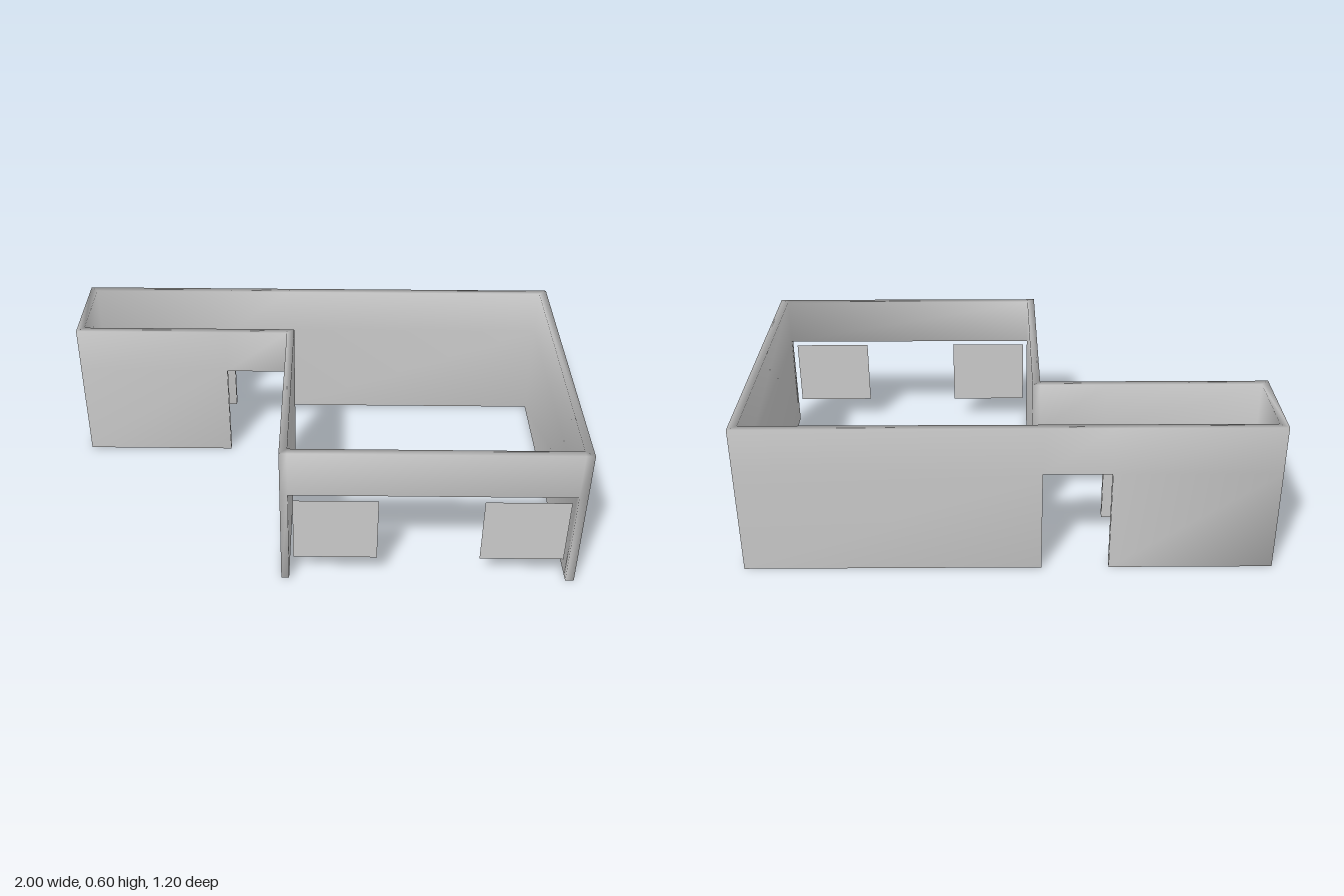
import * as THREE from 'three';
import { mergeVertices } from 'three/addons/utils/BufferGeometryUtils.js';

const LEVELS = [0, 0.41, 0.6]; // floor, top of openings, top of walls

// Wall stations around the plan: outer x, z, inner x, z, and 1 if an opening follows
const STATIONS = [
  [-1, -0.6, -0.97, -0.57, 0],
  [-1, -0.225, -0.97, -0.255, 0],
  [-0.38, -0.225, -0.38, -0.255, 1], // wing doorway
  [-0.125, -0.225, -0.125, -0.255, 0],
  [-0.125, -0.225, -0.095, -0.255, 0],
  [-0.125, 0.6, -0.095, 0.57, 0],
  [-0.095, 0.6, -0.095, 0.57, 1], // wide front opening
  [0.967, 0.6, 0.967, 0.57, 0],
  [1, 0.6, 0.967, 0.57, 0],
  [1, -0.6, 0.967, -0.57, 0],
  [-0.125, -0.6, -0.125, -0.57, 1], // back doorway
  [-0.38, -0.6, -0.38, -0.57, 0],
];

function wallGeometry() {
  const positions = [], index = [];
  for (const [ox, oz, ix, iz] of STATIONS) {
    for (const y of LEVELS) positions.push(ox, y, oz);
    for (const y of LEVELS) positions.push(ix, y, iz);
  }
  const n = STATIONS.length;
  const outer = (i, level) => i * 6 + level;
  const inner = (i, level) => i * 6 + 3 + level;
  const quad = (a, b, c, d) => index.push(a, b, c, a, c, d);

  for (let i = 0; i < n; i++) {
    const j = (i + 1) % n;
    const open = STATIONS[i][4], nextOpen = STATIONS[j][4];
    const base = open ? 1 : 0;
    // outer and inner faces
    for (let k = base; k < 2; k++) {
      quad(outer(i, k), outer(j, k), outer(j, k + 1), outer(i, k + 1));
      quad(inner(j, k), inner(i, k), inner(i, k + 1), inner(j, k + 1));
    }
    // top edge and underside
    quad(outer(i, 2), outer(j, 2), inner(j, 2), inner(i, 2));
    quad(outer(j, base), outer(i, base), inner(i, base), inner(j, base));
    // jambs on both sides of an opening
    if (!open && nextOpen) quad(outer(j, 0), inner(j, 0), inner(j, 1), outer(j, 1));
    if (open && !nextOpen) quad(inner(j, 0), outer(j, 0), outer(j, 1), inner(j, 1));
  }

  const geometry = new THREE.BufferGeometry();
  geometry.setAttribute('position', new THREE.Float32BufferAttribute(positions, 3));
  geometry.setIndex(index);
  const welded = mergeVertices(geometry, 1e-4);
  welded.computeVertexNormals(); // soft shading across the corners
  return welded;
}

export function createModel() {
  const model = new THREE.Group();
  model.name = 'walledBuilding';

  const walls = new THREE.Mesh(wallGeometry(), new THREE.MeshStandardMaterial({ color: 0xcccccc }));
  walls.name = 'walls';
  model.add(walls);

  // Two thin panes standing in the front opening
  const paneMaterial = new THREE.MeshStandardMaterial({ color: 0xcccccc, side: THREE.DoubleSide });
  for (const [name, x] of [['rightPane', 0.081], ['leftPane', 0.789]]) {
    const pane = new THREE.Mesh(new THREE.PlaneGeometry(0.318, 0.275), paneMaterial);
    pane.name = name;
    pane.position.set(x, 0.243, 0.595);
    model.add(pane);
  }
  return model;
}
